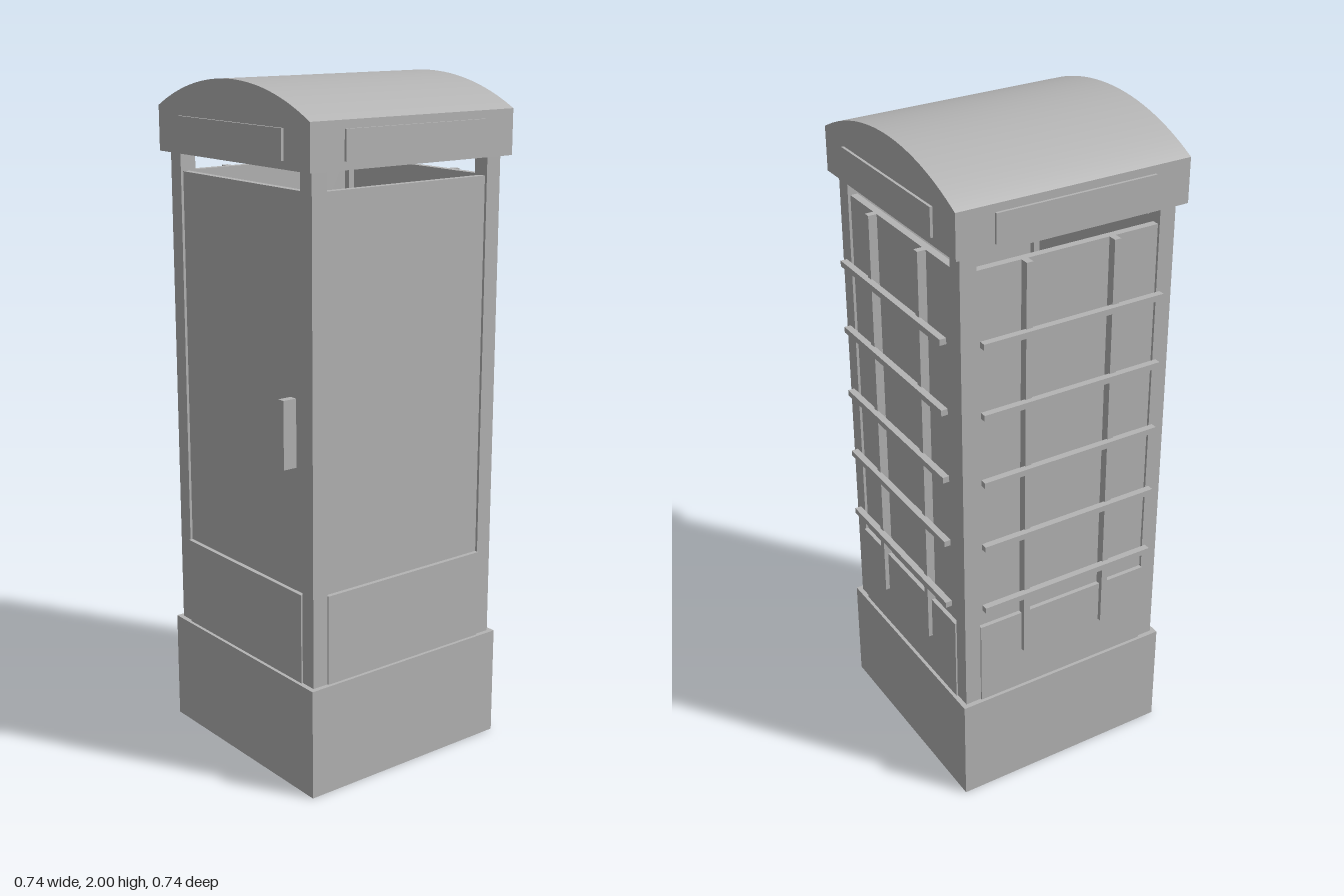
import * as THREE from 'three';

export function createModel() {
  const model = new THREE.Group();
  model.name = 'phoneBooth';
  const grey = new THREE.MeshStandardMaterial({ color: 0xb4b4b4 });
  grey.name = 'plain grey';

  // Box given by its lower and upper limits on each axis
  function box(parent, name, x0, x1, y0, y1, z0, z1) {
    const mesh = new THREE.Mesh(new THREE.BoxGeometry(x1 - x0, y1 - y0, z1 - z0), grey);
    mesh.position.set((x0 + x1) / 2, (y0 + y1) / 2, (z0 + z1) / 2);
    mesh.name = name;
    parent.add(mesh);
    return mesh;
  }

  // Plinth
  box(model, 'plinth', -0.35, 0.35, 0, 0.332, -0.35, 0.35);

  // Corner posts
  for (const x of [-0.31, 0.31]) {
    for (const z of [-0.31, 0.31]) {
      box(model, 'cornerPost', x - 0.025, x + 0.025, 0.332, 1.78, z - 0.025, z + 0.025);
    }
  }

  // Four walls: recessed upper panel, proud lower panel, sign plate; each built facing +z
  const sides = ['front', 'right', 'back', 'left'];
  sides.forEach((side, i) => {
    const wall = new THREE.Group();
    wall.name = side + 'Wall';
    wall.rotation.y = i * Math.PI / 2;
    model.add(wall);
    box(wall, 'upperPanel', -0.285, 0.285, 0.6, 1.725, 0.305, 0.327);
    box(wall, 'lowerPanel', -0.285, 0.285, 0.332, 0.6, 0.3, 0.34);
    box(wall, 'signPlate', -0.245, 0.245, 1.803, 1.887, 0.357, 0.366);

    if (side === 'front') {
      box(wall, 'doorHandle', 0.227, 0.251, 0.963, 1.16, 0.327, 0.37);
    }

    // Glazing bars on the back and left
    if (side === 'back' || side === 'left') {
      for (const x of [-0.137, 0.137]) {
        box(wall, 'verticalBar', x - 0.01, x + 0.01, 0.467, 1.725, 0.327, 0.353);
      }
      for (let k = 0; k < 5; k++) {
        const y = 0.68 + k * 0.2115;
        box(wall, 'horizontalBar', -0.285, 0.285, y - 0.009, y + 0.009, 0.349, 0.369);
      }
    }
  });

  // Roof with a shallow barrel vault along z
  const half = 0.358, eave = 1.91, rise = 0.09;
  const radius = (half * half + rise * rise) / (2 * rise);
  const angle = Math.asin(half / radius);
  const profile = new THREE.Shape();
  profile.moveTo(-half, 1.78);
  profile.lineTo(half, 1.78);
  profile.lineTo(half, eave);
  profile.absarc(0, 2 - radius, radius, Math.PI / 2 - angle, Math.PI / 2 + angle, false);
  profile.closePath();
  const roofGeometry = new THREE.ExtrudeGeometry(profile, { depth: 2 * half, bevelEnabled: false, curveSegments: 24 });
  roofGeometry.translate(0, 0, -half);

  // Smooth normals over the vault only
  const pos = roofGeometry.attributes.position, nor = roofGeometry.attributes.normal;
  for (let i = 0; i < pos.count; i++) {
    if (nor.getY(i) > 0.5) {
      const n = new THREE.Vector2(pos.getX(i), pos.getY(i) - 2 + radius).normalize();
      nor.setXYZ(i, n.x, n.y, 0);
    }
  }
  const roof = new THREE.Mesh(roofGeometry, grey);
  roof.name = 'roof';
  model.add(roof);

  return model;
}
